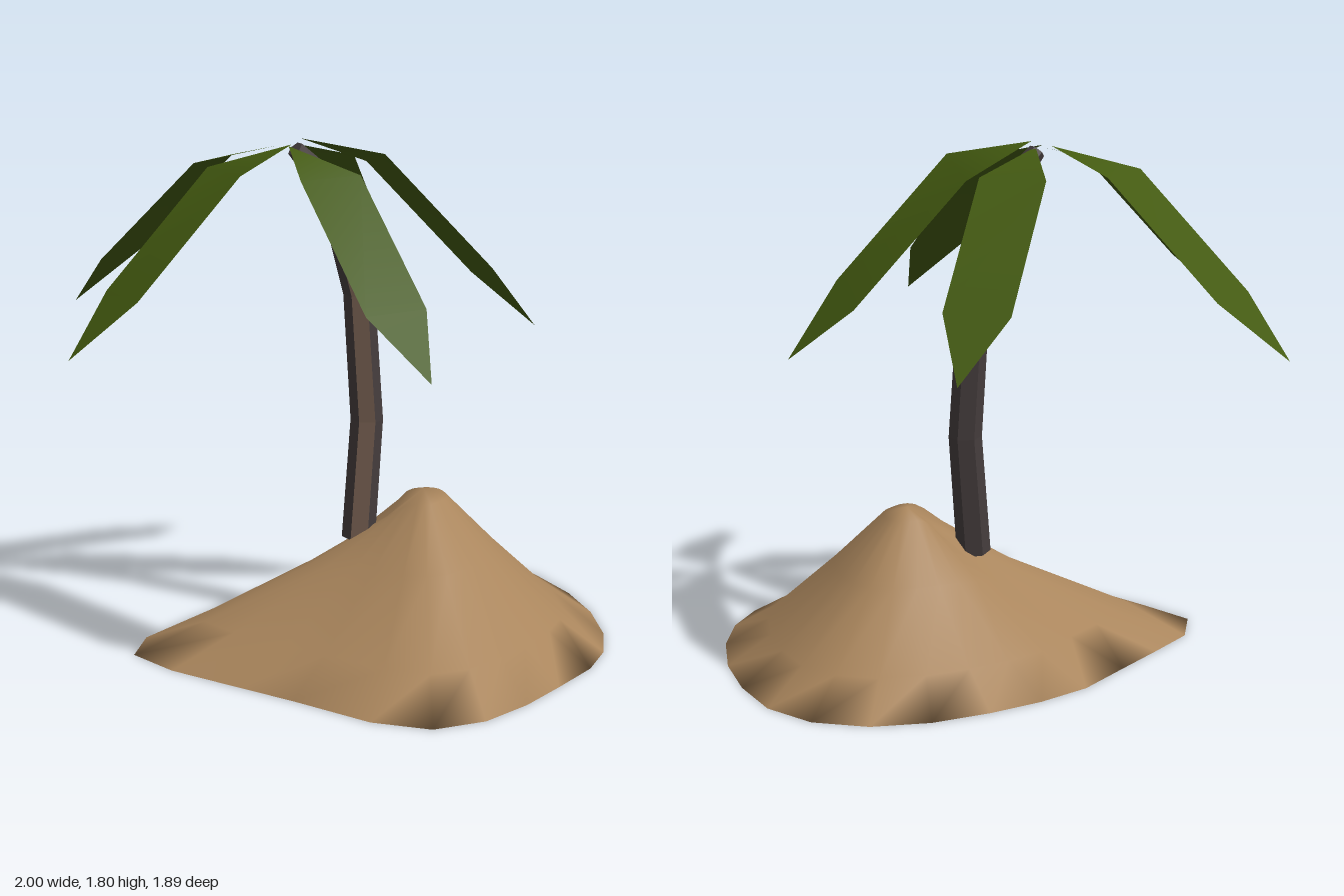
import * as THREE from 'three';

const sand = new THREE.MeshStandardMaterial({ color: 0xa9855c });
sand.name = 'sand';
const bark = new THREE.MeshStandardMaterial({ color: 0x453d3d, flatShading: true });
bark.name = 'dark bark';
const paleBark = new THREE.MeshStandardMaterial({ color: 0x6e594b, flatShading: true });
paleBark.name = 'pale bark';
const leaf = new THREE.MeshStandardMaterial({ color: 0x435a10, side: THREE.DoubleSide });
leaf.name = 'leaf green';

function makeMesh(name, positions, index, material) {
  const g = new THREE.BufferGeometry();
  g.setAttribute('position', new THREE.Float32BufferAttribute(positions, 3));
  if (index) g.setIndex(index);
  g.computeVertexNormals();
  const m = new THREE.Mesh(g, material);
  m.name = name;
  return m;
}

// Sandy mound: shoreline outline shrunk in rings toward an off-centre peak
function makeMound() {
  const rim = [
    [-0.73, -0.23], [-0.61, -0.37], [-0.42, -0.45], [-0.22, -0.53], [0, -0.62], [0.2, -0.645],
    [0.4, -0.64], [0.61, -0.61], [0.8, -0.53], [0.94, -0.39], [1, -0.2], [0.98, 0.02],
    [0.92, 0.24], [0.82, 0.45], [0.7, 0.61], [0.56, 0.72], [0.36, 0.81], [0.17, 0.89],
    [-0.03, 0.94], [-0.22, 0.91], [-0.36, 0.75], [-0.48, 0.45], [-0.57, 0.25], [-0.69, -0.02],
  ];
  const peak = [0.3, 0.05];
  const rings = [[0, 0], [0.24, 0.1], [0.6, 0.32], [0.87, 0.5]]; // inset, height
  const n = rim.length;
  const pos = [], idx = [];
  rings.forEach(([t, h], r) => {
    for (const [x, z] of rim) {
      const dx = x - peak[0], dz = z - peak[1];
      // the slope under the trunk is gentler
      const toTrunk = Math.max(0, (-0.9 * dx - 0.43 * dz) / Math.hypot(dx, dz));
      const y = r > 1 ? h * (1 - 0.15 * toTrunk ** 4) : h;
      pos.push(x - dx * t, y, z - dz * t);
    }
  });
  const apex = pos.length / 3;
  pos.push(peak[0], 0.525, peak[1]);
  for (let i = 0; i < n; i++) {
    const j = (i + 1) % n;
    for (let r = 0; r < rings.length - 1; r++) {
      const a = r * n + i, b = r * n + j, c = a + n, d = b + n;
      idx.push(a, c, b, c, d, b);
    }
    const top = (rings.length - 1) * n;
    idx.push(top + i, apex, top + j);
  }
  // flat underside sharing the shoreline vertices
  const flat = rim.map(([x, z]) => new THREE.Vector2(x, z));
  for (const [a, b, c] of THREE.ShapeUtils.triangulateShape(flat, [])) {
    const u = flat[b].clone().sub(flat[a]), v = flat[c].clone().sub(flat[a]);
    if (u.cross(v) > 0) idx.push(a, b, c);
    else idx.push(a, c, b);
  }
  return makeMesh('sandMound', pos, idx, sand);
}

// Bent six-sided trunk with one pale face
function makeTrunk() {
  const path = [ // x, y, z, radius
    [0.085, 0.35, -0.045, 0.06], [0.13, 0.78, -0.062, 0.058], [0.108, 1.24, -0.08, 0.056],
    [0.045, 1.49, -0.095, 0.054], [-0.03, 1.66, -0.105, 0.048], [-0.13, 1.765, -0.115, 0.03],
  ];
  const rings = path.map(([x, y, z, r], i) => {
    const p = path[Math.max(0, i - 1)], q = path[Math.min(path.length - 1, i + 1)];
    const t = new THREE.Vector2(q[0] - p[0], q[1] - p[1]).normalize();
    return Array.from({ length: 6 }, (_, k) => {
      const a = k * Math.PI / 3;
      return [x + t.y * Math.sin(a) * r, y - t.x * Math.sin(a) * r, z + Math.cos(a) * r];
    });
  });
  const dark = [], pale = [];
  for (let k = 0; k < 6; k++) {
    const j = (k + 1) % 6;
    const out = k === 5 ? pale : dark;
    for (let i = 0; i < rings.length - 1; i++) {
      const lo = rings[i], hi = rings[i + 1];
      out.push(...lo[k], ...lo[j], ...hi[j], ...lo[k], ...hi[j], ...hi[k]);
    }
  }
  // end caps
  const lo = rings[0], hi = rings[rings.length - 1];
  for (let k = 1; k < 5; k++) {
    dark.push(...hi[0], ...hi[k], ...hi[k + 1], ...lo[0], ...lo[k + 1], ...lo[k]);
  }
  const trunk = new THREE.Group();
  trunk.name = 'trunk';
  trunk.add(makeMesh('trunkDarkFaces', dark, null, bark));
  trunk.add(makeMesh('trunkPaleFace', pale, null, paleBark));
  return trunk;
}

// Drooping leaf blade from a base point to a tip; roll lifts one long edge
function makeFrond([bx, by, bz], [tx, ty, tz], roll = 0) {
  const dx = tx - bx, dz = tz - bz, len = Math.hypot(dx, dz), w = 0.117;
  const sx = dz / len * w, sz = -dx / len * w;
  const pos = [bx, by, bz];
  for (const [t, drop] of [[0.31, 0.11], [0.765, 0.7]]) {
    const y = by + (ty - by) * drop;
    for (const s of [1, -1]) {
      pos.push(bx + dx * t + s * sx, y - s * roll, bz + dz * t + s * sz);
    }
  }
  pos.push(tx, ty, tz);
  return makeMesh('frond', pos, [0, 2, 1, 1, 2, 4, 1, 4, 3, 3, 4, 5], leaf);
}

export function createModel() {
  const model = new THREE.Group();
  model.name = 'palmIsland';
  model.add(makeMound(), makeTrunk());

  const crown = new THREE.Group();
  crown.name = 'crown';
  crown.add(
    makeFrond([-0.17, 1.78, -0.09], [-0.17, 1.13, 0.81]),
    makeFrond([-0.14, 1.78, -0.12], [-1, 1.12, -0.13]),
    makeFrond([-0.18, 1.78, -0.13], [-0.58, 1.13, -0.95]),
    makeFrond([-0.12, 1.78, -0.12], [0.54, 1.13, -0.66]),
    makeFrond([-0.11, 1.8, -0.11], [0.72, 1.09, 0.13], 0.03),
  );
  model.add(crown);
  return model;
}
